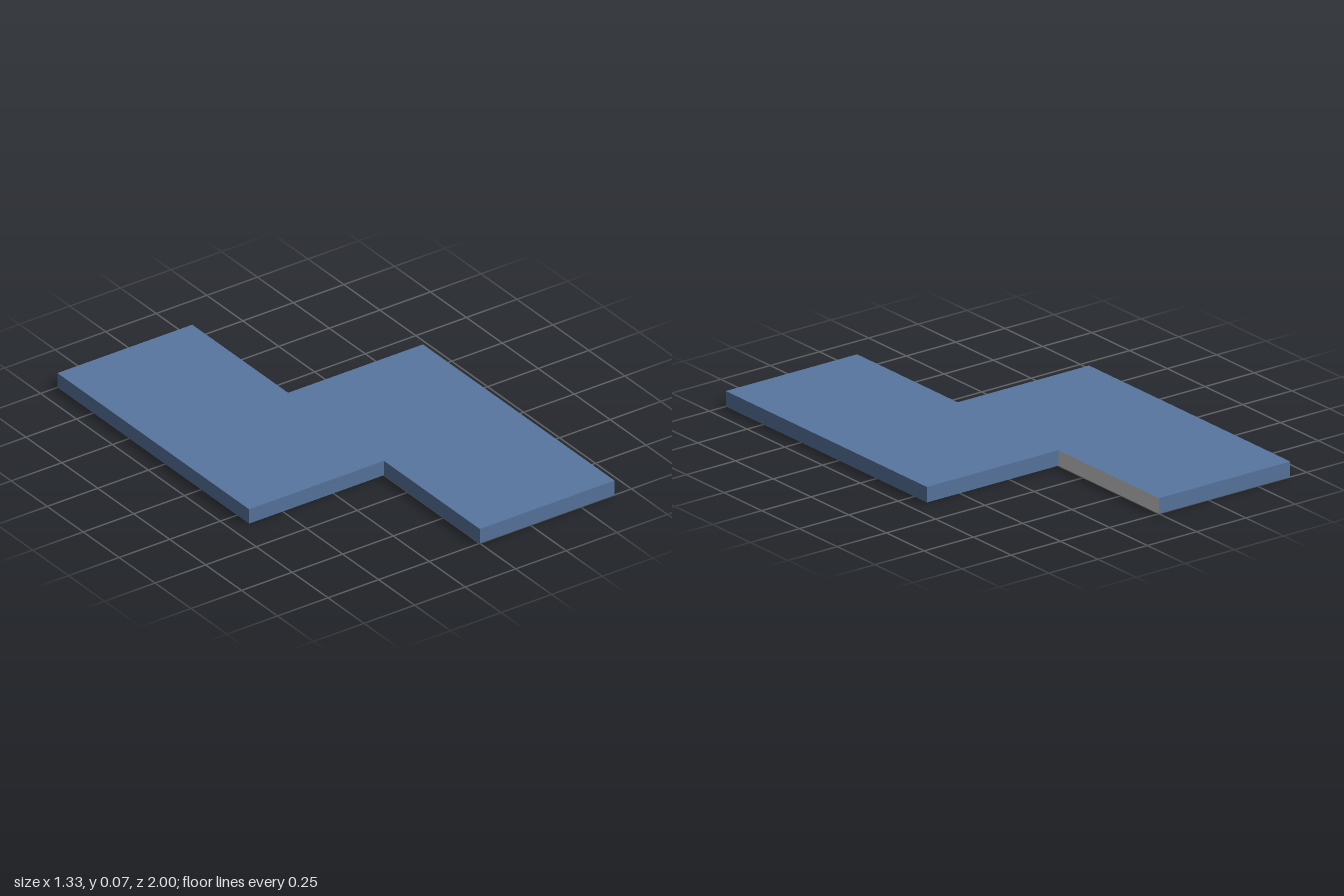
import * as THREE from 'three';

const THIRD = 2 / 3, SIXTH = 1 / 3, THICK = 0.067;

export function createModel() {
  const blue = new THREE.MeshStandardMaterial({ color: 0x5876a0 });
  blue.name = 'slateBlue';
  const grey = new THREE.MeshStandardMaterial({ color: 0xcccccc });
  grey.name = 'lightGrey';

  // Stepped outline: two offset rectangles sharing the line x = 0
  const outline = new THREE.Shape([
    [-THIRD, 1], [-THIRD, -SIXTH], [0, -SIXTH], [0, -1],
    [THIRD, -1], [THIRD, SIXTH], [0, SIXTH], [0, 1],
  ].map(([x, y]) => new THREE.Vector2(x, y)));

  const geometry = new THREE.ExtrudeGeometry(outline, { depth: THICK, bevelEnabled: false });
  geometry.rotateX(-Math.PI / 2);

  // The inner wall of the rear notch is grey, every other face blue
  const pos = geometry.attributes.position;
  geometry.clearGroups();
  for (let i = 0; i < pos.count; i += 3) {
    const onNotchWall = [i, i + 1, i + 2].every(
      (v) => Math.abs(pos.getX(v)) < 1e-4 && pos.getZ(v) < 0);
    geometry.addGroup(i, 3, onNotchWall ? 1 : 0);
  }

  const slab = new THREE.Mesh(geometry, [blue, grey]);
  slab.name = 'steppedSlab';

  const model = new THREE.Group();
  model.name = 'steppedTile';
  model.add(slab);
  return model;
}
